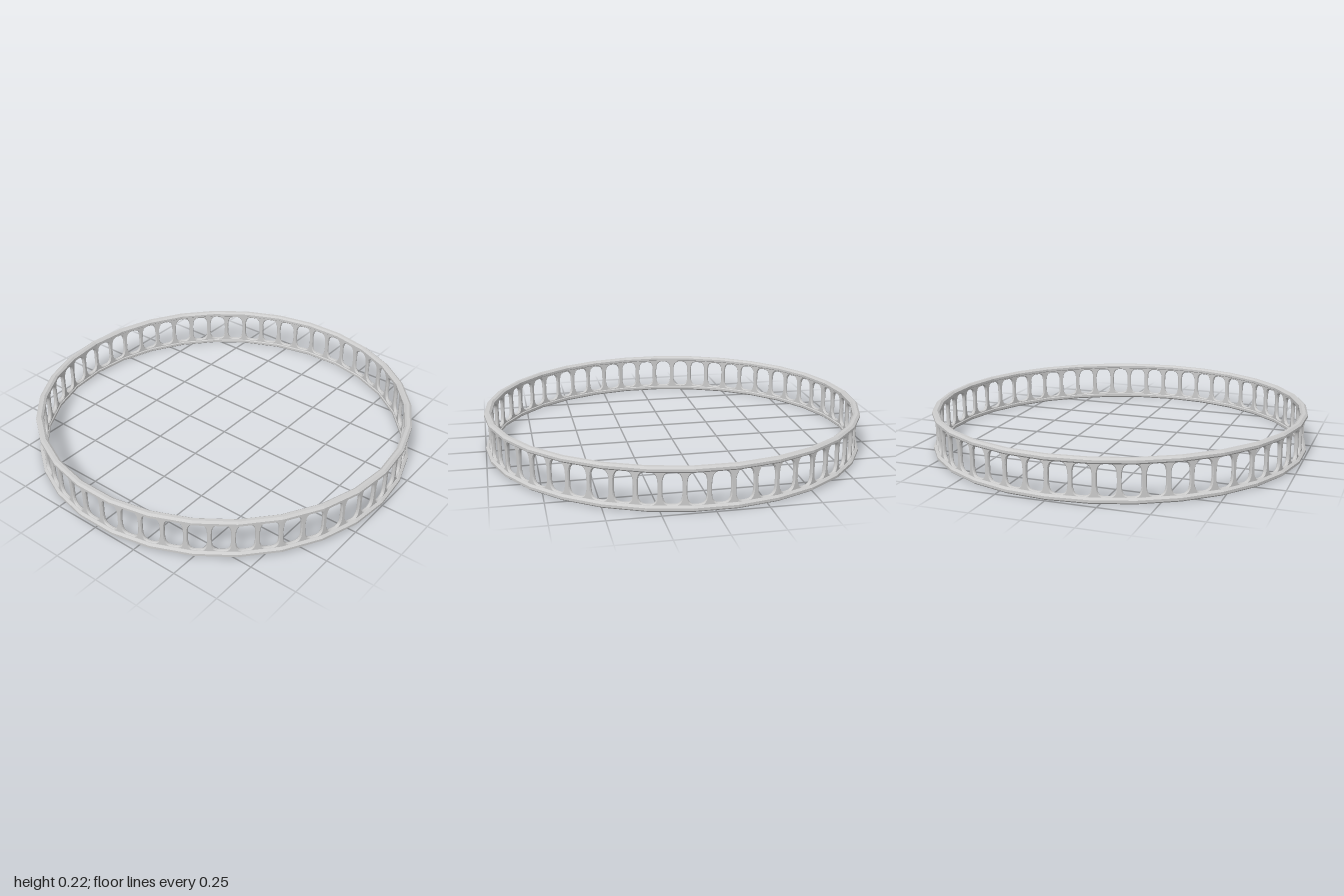
import * as THREE from 'three';
import { toCreasedNormals } from 'three/addons/utils/BufferGeometryUtils.js';

const SIDES = 30;      // facets of the hoop
const CELLS = 55;      // openings around the band
const HEIGHT = 0.217;
const MID = HEIGHT / 2;

// Radius of the faceted hoop at an angle, for a given corner radius
function facetRadius(r, angle) {
  const step = (Math.PI * 2) / SIDES;
  const local = angle - Math.floor(angle / step) * step - step / 2;
  return (r * Math.cos(step / 2)) / Math.cos(local);
}

// Pierced band: each cell is a strip of loops running from the outer face,
// through a rounded opening, to the inner face
function bandGeometry() {
  const N = 40;
  const outer = 0.986, inner = 0.967, middle = (outer + inner) / 2;
  const halfW = Math.PI / CELLS, halfH = 0.086;
  const holeW = 0.045, holeH = 0.076;
  const loops = [
    { r: outer },
    { r: outer, grow: 0.004 },
    { r: middle + 0.004, grow: 0 },
    { r: middle - 0.004, grow: 0 },
    { r: inner, grow: 0.004 },
    { r: inner },
  ];
  const positions = [], index = [];
  for (let c = 0; c < CELLS; c++) {
    const centre = (c / CELLS) * Math.PI * 2;
    const base = positions.length / 3;
    for (const { r, grow } of loops) {
      for (let i = 0; i < N; i++) {
        const t = (i / N) * Math.PI * 2;
        // superellipse opening, or the cell's rectangle when grow is unset
        let u = Math.sign(Math.cos(t)) * Math.abs(Math.cos(t)) ** 0.6;
        let v = Math.sign(Math.sin(t)) * Math.abs(Math.sin(t)) ** 0.6;
        if (grow === undefined) {
          const m = Math.max(Math.abs(u), Math.abs(v));
          u *= halfW / m;
          v *= halfH / m;
        } else {
          u *= (holeW + grow) / 0.98;
          v *= holeH + grow;
        }
        const a = centre + u;
        const radius = facetRadius(r, a);
        positions.push(radius * Math.cos(a), MID + v, -radius * Math.sin(a));
      }
    }
    for (let l = 0; l < loops.length - 1; l++) {
      for (let i = 0; i < N; i++) {
        const j = (i + 1) % N;
        const a = base + l * N, b = a + N;
        index.push(a + i, a + j, b + j, a + i, b + j, b + i);
      }
    }
  }
  const geo = new THREE.BufferGeometry();
  geo.setAttribute('position', new THREE.Float32BufferAttribute(positions, 3));
  geo.setIndex(index);
  return toCreasedNormals(geo, 0.6);
}

// Rounded rim with an eight-sided section
function rimGeometry() {
  const profile = [];
  for (let i = 0; i <= 8; i++) {
    const t = ((i + 0.5) / 8) * Math.PI * 2;
    const k = 1 / Math.cos(Math.PI / 8);
    profile.push(new THREE.Vector2(0.981 + 0.019 * k * Math.cos(t), 0.015 * k * Math.sin(t)));
  }
  return new THREE.LatheGeometry(profile, SIDES, Math.PI / 2);
}

export function createModel() {
  const group = new THREE.Group();
  group.name = 'piercedHoop';
  const smooth = new THREE.MeshStandardMaterial({ color: 0xcccccc });
  const flat = new THREE.MeshStandardMaterial({ color: 0xcccccc, flatShading: true });

  const band = new THREE.Mesh(bandGeometry(), smooth);
  band.name = 'piercedBand';
  group.add(band);

  const rim = rimGeometry();
  for (const [name, y] of [['bottomRim', 0.015], ['topRim', HEIGHT - 0.015]]) {
    const mesh = new THREE.Mesh(rim, flat);
    mesh.name = name;
    mesh.position.y = y;
    group.add(mesh);
  }
  return group;
}
